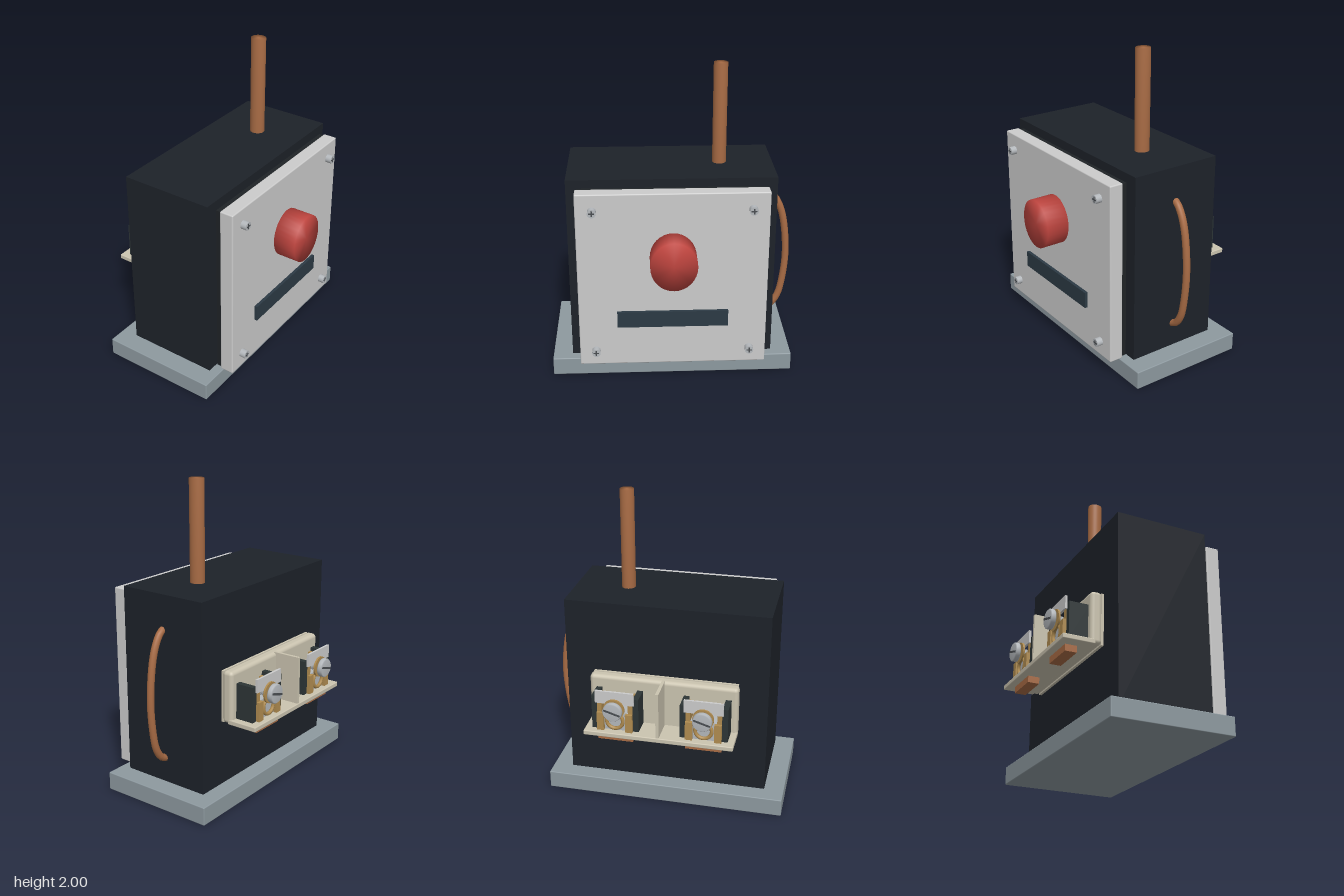
import * as THREE from 'three';
import { mergeVertices } from 'three/addons/utils/BufferGeometryUtils.js';
import { RoundedBoxGeometry } from 'three/addons/geometries/RoundedBoxGeometry.js';

const mat = (color) => new THREE.MeshStandardMaterial({ color });
const M = {
  base: mat(0x8d999f), body: mat(0x1d2229), plate: mat(0xc6c6c2), gasket: mat(0x1f2326),
  red: mat(0xbd443e), copper: mat(0xa96c45), slot: mat(0x2c3a44), cream: mat(0xcbc4b0),
  brass: mat(0xb08c50), steel: mat(0xb4b8bc), dark: mat(0x2d3536), groove: mat(0x4a4e52),
};

function add(parent, name, geometry, material, x = 0, y = 0, z = 0) {
  const mesh = new THREE.Mesh(geometry, material);
  mesh.name = name;
  mesh.position.set(x, y, z);
  parent.add(mesh);
  return mesh;
}

// Box given by its minimum and maximum along each axis, optionally rounded
function box(parent, name, material, [x0, x1], [y0, y1], [z0, z1], radius = 0) {
  const size = [x1 - x0, y1 - y0, z1 - z0];
  const g = radius ? new RoundedBoxGeometry(...size, 3, radius) : new THREE.BoxGeometry(...size);
  return add(parent, name, g, material, (x0 + x1) / 2, (y0 + y1) / 2, (z0 + z1) / 2);
}

// Cylinder whose shading runs softly over the rim
function softCylinder(radius, height) {
  const g = new THREE.CylinderGeometry(radius, radius, height, 32);
  g.deleteAttribute('uv');
  g.deleteAttribute('normal');
  const soft = mergeVertices(g);
  soft.computeVertexNormals();
  return soft;
}

// Cylinder along z
const zCylinder = (r, h) => new THREE.CylinderGeometry(r, r, h, 24).rotateX(Math.PI / 2);

// Panel screw with a cross recess
function panelScrew(x, y) {
  const g = new THREE.Group();
  g.name = 'panelScrew';
  g.position.set(x, y, 0.44);
  add(g, 'screwHead', zCylinder(0.027, 0.042), M.steel, 0, 0, 0.021);
  for (const turn of [0, Math.PI / 2]) {
    add(g, 'crossRecess', new THREE.BoxGeometry(0.036, 0.009, 0.004), M.groove, 0, 0, 0.041).rotation.z = turn;
  }
  return g;
}

// One wiring terminal: cheeks, brass clamp, tag and threaded screw
function terminal(x) {
  const g = new THREE.Group();
  g.name = 'terminal';
  g.position.x = x;
  for (const s of [-1, 1]) {
    const span = (a, b) => [Math.min(s * a, s * b), Math.max(s * a, s * b)];
    box(g, 'cheek', M.dark, span(0.115, 0.152), [0.57, 0.805], [-0.515, -0.385]);
    box(g, 'brassSide', M.brass, span(0.085, 0.115), [0.57, 0.78], [-0.52, -0.385]);
    box(g, 'brassPost', M.brass, span(0.07, 0.115), [0.57, 0.7], [-0.538, -0.515]);
  }
  box(g, 'clampBlock', M.steel, [-0.085, 0.085], [0.57, 0.7], [-0.515, -0.385]);
  box(g, 'tag', M.plate, [-0.125, 0.125], [0.765, 0.85], [-0.53, -0.515]);
  box(g, 'copperFoot', M.copper, [-0.115, 0.115], [0.5, 0.55], [-0.52, -0.445]);
  add(g, 'wireRing', new THREE.TorusGeometry(0.053, 0.012, 8, 28), M.brass, 0, 0.645, -0.525);
  add(g, 'washer', zCylinder(0.068, 0.012), M.brass, 0, 0.735, -0.538);

  // Screw with thread rings and a slotted head
  const screw = new THREE.Group();
  screw.name = 'terminalScrew';
  screw.position.y = 0.735;
  add(screw, 'shaft', zCylinder(0.024, 0.13), M.steel, 0, 0, -0.495);
  for (let i = 0; i < 6; i++) {
    add(screw, 'thread', new THREE.TorusGeometry(0.025, 0.006, 6, 20), M.steel, 0, 0, -0.44 - i * 0.016).rotation.y = 0.15;
  }
  const head = [[0, 0], [0.06, 0], [0.062, 0.006], [0.062, 0.028], [0.056, 0.035], [0, 0.035]]
    .map(([r, h]) => new THREE.Vector2(r, h));
  add(screw, 'head', new THREE.LatheGeometry(head, 28).rotateX(-Math.PI / 2), M.steel, 0, 0, -0.555);
  add(screw, 'slot', new THREE.BoxGeometry(0.11, 0.013, 0.004), M.groove, 0, 0, -0.59).rotation.z = 0.3;
  g.add(screw);
  return g;
}

export function createModel() {
  const model = new THREE.Group();
  model.name = 'controlBox';

  // Base and housing
  box(model, 'base', M.base, [-0.795, 0.775], [0, 0.12], [-0.415, 0.37], 0.006);
  box(model, 'housing', M.body, [-0.668, 0.645], [0.12, 1.35], [-0.305, 0.305]);

  // Front panel
  box(model, 'gasket', M.gasket, [-0.6, 0.578], [0.13, 1.3], [0.318, 0.352]);
  box(model, 'frontPlate', M.plate, [-0.61, 0.587], [0.12, 1.308], [0.35, 0.442], 0.008);
  box(model, 'slotBar', M.slot, [-0.365, 0.34], [0.4, 0.508], [0.44, 0.462]);
  const button = add(model, 'button', softCylinder(0.146, 0.155).rotateX(Math.PI / 2), M.red, -0.01, 0.886, 0.515);
  button.scale.y = 1.1;
  for (const x of [-0.505, 0.48]) for (const y of [0.225, 1.2]) model.add(panelScrew(x, y));

  // Copper rod on top
  add(model, 'rod', softCylinder(0.045, 0.68), M.copper, 0.304, 1.66, 0).scale.z = 1.08;

  // Bowed side handle
  const path = new THREE.CatmullRomCurve3([
    [0.62, 1.13], [0.655, 1.12], [0.7, 1.06], [0.738, 0.95], [0.766, 0.7],
    [0.75, 0.48], [0.725, 0.37], [0.685, 0.305], [0.65, 0.285], [0.62, 0.275],
  ].map(([x, y]) => new THREE.Vector3(x, y, 0)));
  add(model, 'handle', new THREE.TubeGeometry(path, 32, 0.023, 12), M.copper);

  // Terminal block on the back
  const block = new THREE.Group();
  block.name = 'terminalBlock';
  box(block, 'mountingPlate', M.cream, [-0.48, 0.46], [0.545, 0.88], [-0.322, -0.3]);
  box(block, 'backPlate', M.cream, [-0.49, 0.47], [0.545, 0.885], [-0.392, -0.318], 0.025);
  box(block, 'shelf', M.cream, [-0.49, 0.47], [0.543, 0.575], [-0.567, -0.36], 0.006);
  box(block, 'divider', M.cream, [-0.02, 0], [0.565, 0.885], [-0.562, -0.37]);
  for (const x of [-0.297, 0.272]) block.add(terminal(x));
  model.add(block);

  return model;
}
